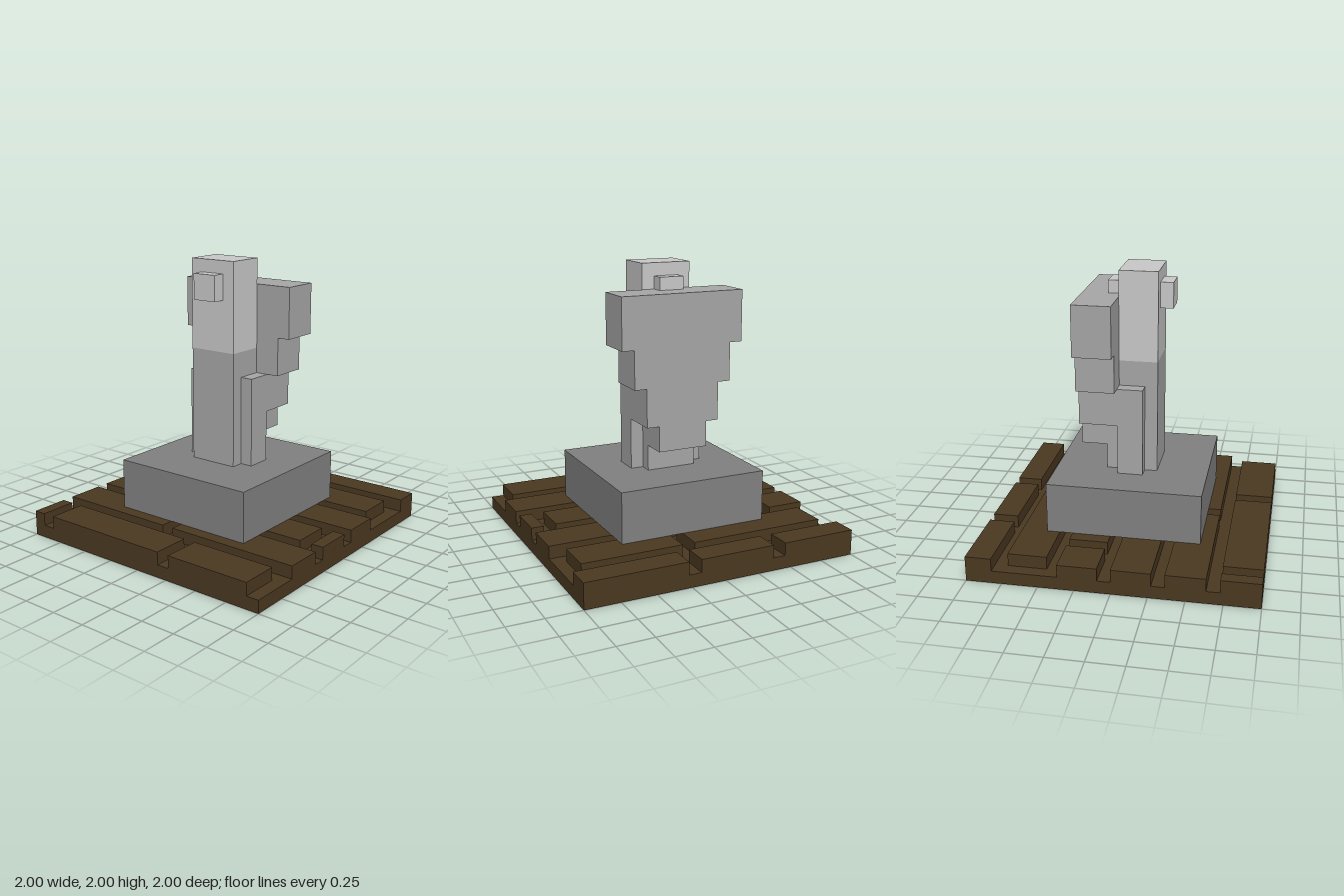
import * as THREE from 'three';

// One voxel; the model is 22 voxels wide and tall
const U = 1 / 11;

function material(name, color) {
  const m = new THREE.MeshStandardMaterial({ color });
  m.name = name;
  return m;
}

export function createModel() {
  const wood = material('dark wood', 0x4a3820);
  const darkStone = material('dark stone', 0x808080);
  const stone = material('stone', 0xa6a6a6);
  const paleStone = material('pale stone', 0xc8c8c8);

  const model = new THREE.Group();
  model.name = 'statue';

  // Box given by its voxel ranges on each axis
  function block(name, mat, [x0, x1], [y0, y1], [z0, z1], parent = model) {
    const mesh = new THREE.Mesh(
      new THREE.BoxGeometry((x1 - x0) * U, (y1 - y0) * U, (z1 - z0) * U), mat);
    mesh.position.set((x0 + x1) / 2 * U, (y0 + y1) / 2 * U, (z0 + z1) / 2 * U);
    mesh.name = name;
    parent.add(mesh);
    return mesh;
  }

  // Wooden floor: solid slab with rows of planks split by grooves
  const floor = new THREE.Group();
  floor.name = 'floor';
  model.add(floor);
  block('floorSlab', wood, [-11, 11], [0, 1], [-11, 11], floor);
  const rows = [
    { z: [-11, -9], planks: [[-11, -5], [-4, 2], [3, 11]] },
    { z: [-8, -5], planks: [[-10, 1], [2, 10]] },
    { z: [-4, -1], planks: [[-11, -8], [-7, 11]] },
    { z: [0, 3], planks: [[-11, 9], [10, 11]] },
    { z: [4, 7], planks: [[-11, -1], [0, 11]] },
    { z: [8, 11], planks: [[-11, -10], [-9, 2], [3, 10]] },
  ];
  for (const { z, planks } of rows)
    for (const x of planks) block('plank', wood, x, [1, 2], z, floor);

  // Pedestal
  block('pedestal', darkStone, [-6, 6], [2, 6], [-6, 6]);

  // Body column, head and the small blocks on the head
  block('body', stone, [-2, 2], [6, 15], [-1, 2]);
  block('head', paleStone, [-2, 2], [15, 22], [-1, 2]);
  block('beak', paleStone, [-1, 1], [19, 21], [2, 3]);
  block('headBack', paleStone, [-1, 1], [19, 21], [-2, -1]);

  // Side pieces
  for (const s of [-1, 1])
    block(s > 0 ? 'leftSide' : 'rightSide', stone,
      s > 0 ? [2, 3] : [-3, -2], [6, 13], [-1, 1]);

  // Folded wings: stepped outline, mirrored and extruded
  const half = [[2, 8], [2, 10], [3, 10], [3, 13], [4, 13], [4, 16], [5, 16], [5, 20]];
  const outline = [...half, ...half.map(([x, y]) => [-x, y]).reverse()];
  const wings = new THREE.Mesh(
    new THREE.ExtrudeGeometry(
      new THREE.Shape(outline.map(([x, y]) => new THREE.Vector2(x * U, y * U))),
      { depth: 3 * U, bevelEnabled: false }),
    stone);
  wings.position.z = -4 * U;
  wings.name = 'foldedWings';
  model.add(wings);

  // Support below the wings
  block('tailSupport', stone, [-2, 2], [6, 8], [-2, -1]);

  return model;
}
